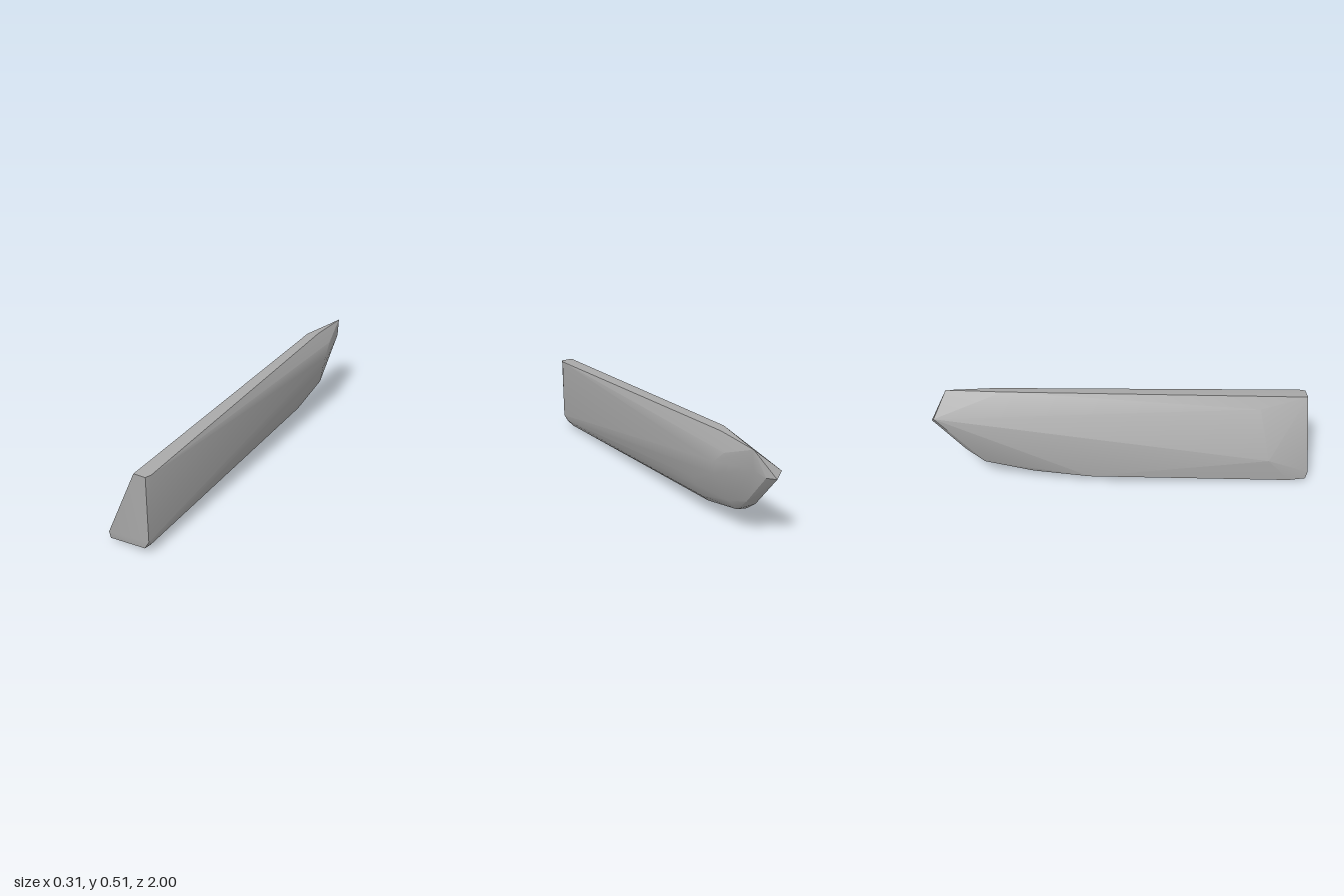
import * as THREE from 'three';
import { ConvexGeometry } from 'three/addons/geometries/ConvexGeometry.js';
import { toCreasedNormals } from 'three/addons/utils/BufferGeometryUtils.js';

const grey = new THREE.MeshStandardMaterial({ color: 0xa8a8a8 });
grey.name = 'grey';

export function createModel() {
  // corners of the faceted bar, grouped along its length
  const frontEnd = [
    [0.01, 0.43, 1], [0.075, 0.43, 1], [0.086, 0.43, 0.97],
    [0.074, 0.075, 1], [0.05, 0.033, 1], [-0.157, 0.055, 1], [-0.157, 0.012, 0.99],
  ];
  const frontUnderside = [
    [0.07, 0.05, 0.96], [0.04, 0.015, 0.95], [-0.03, 0.002, 0.92],
    [-0.09, 0, 0.9], [-0.157, 0.005, 0.9],
  ];
  const leftSide = [
    [-0.157, 0.14, 0.78], [-0.03, 0.39, 0.74], [-0.095, 0.047, -0.18],
  ];
  const rearUnderside = [
    [-0.03, 0.054, -0.48], [0.04, 0.06, -0.48], [0.085, 0.1, -0.48],
    [0.11, 0.16, -0.47], [0.123, 0.2, -0.46],
    [0, 0.11, -0.74], [0.06, 0.12, -0.74], [0.1, 0.17, -0.73],
    [0.03, 0.18, -0.84], [0.075, 0.2, -0.83],
  ];
  const rearEnd = [
    [0.06, 0.51, -0.62], [0.108, 0.506, -0.66], [0.117, 0.5, -0.92],
    [0.145, 0.43, -0.74], [0.155, 0.365, -0.67], [0.147, 0.3, -0.66],
    [0.113, 0.4, -0.92], [0.08, 0.37, -0.97], [0.04, 0.365, -1], [0.003, 0.395, -0.985],
  ];
  const points = [frontEnd, frontUnderside, leftSide, rearUnderside, rearEnd]
    .flat().map((p) => new THREE.Vector3(...p));

  // soft blending across shallow facets, sharp main edges
  const bar = new THREE.Mesh(toCreasedNormals(new ConvexGeometry(points), 0.45), grey);
  bar.name = 'facetedBar';

  const group = new THREE.Group();
  group.name = 'bar';
  group.add(bar);
  return group;
}
